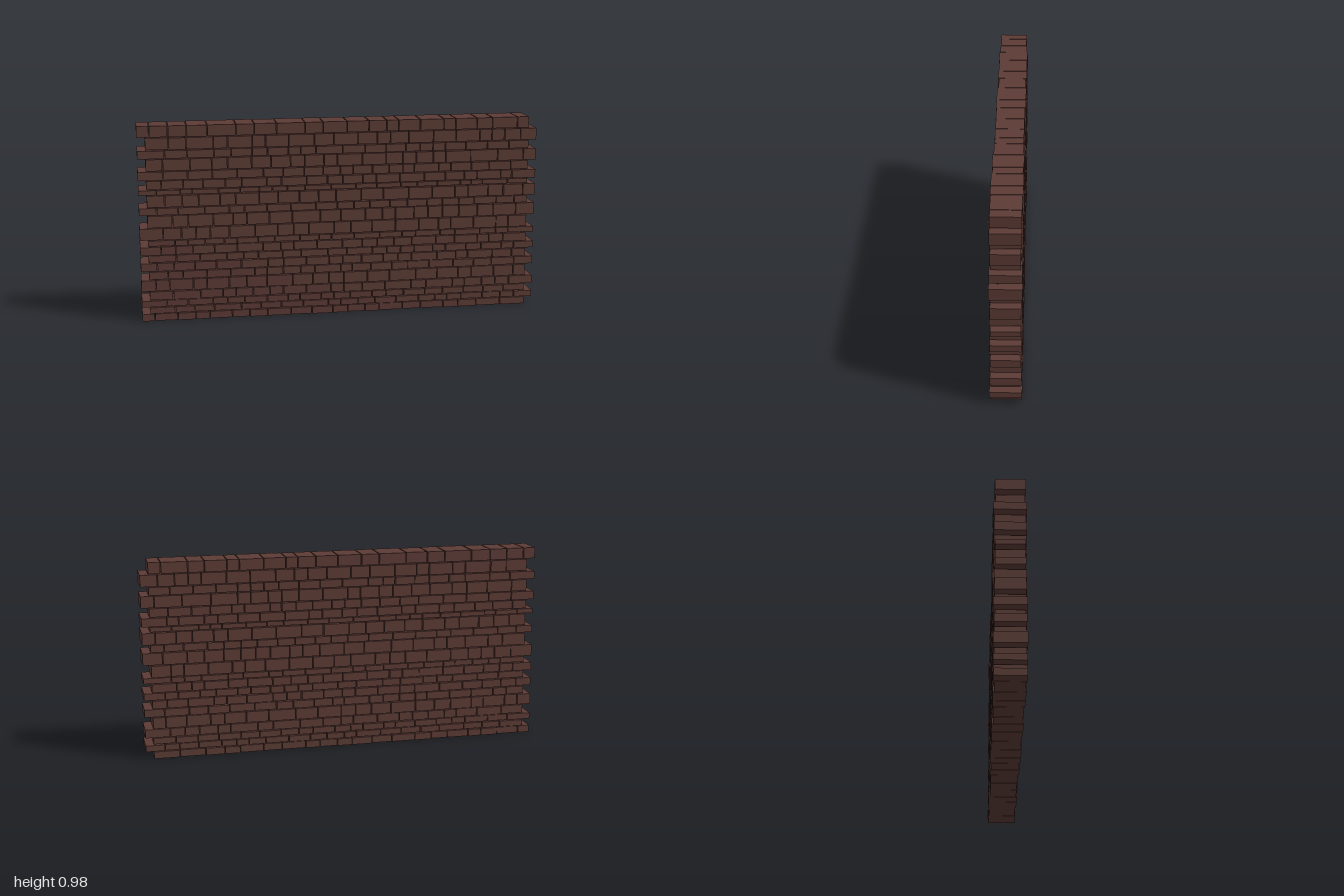
import * as THREE from 'three';

// Height of each bed joint, from the ground to the top of the wall
const beds = [0, 0.037, 0.071, 0.106, 0.152, 0.211, 0.253, 0.297, 0.335, 0.38, 0.411,
  0.473, 0.536, 0.575, 0.637, 0.664, 0.71, 0.756, 0.817, 0.86, 0.922, 0.979];
// Upright joints of the top course
const topJoints = [-1, -0.94, -0.85, -0.76, -0.66, -0.52, -0.43, -0.32, -0.18, -0.09, 0.03,
  0.14, 0.23, 0.29, 0.4, 0.52, 0.58, 0.69, 0.77, 0.9, 0.96];
const GAP = 0.004;

// Small seeded generator
function seeded(seed) {
  return () => {
    seed = (seed * 16807) % 2147483647;
    return seed / 2147483647;
  };
}

// Split a course into bricks of uneven length
function splitCourse(start, end, random) {
  const joints = [start];
  const lengths = Array.from({ length: 20 }, () => 0.06 + 0.08 * random());
  const total = lengths.reduce((a, b) => a + b, 0);
  let x = start;
  for (const length of lengths) {
    x += (length / total) * (end - start);
    joints.push(x);
  }
  return joints;
}

export function createModel() {
  const wall = new THREE.Group();
  wall.name = 'brickWall';
  const material = new THREE.MeshStandardMaterial({ color: 0x5c3b35 });
  const box = new THREE.BoxGeometry(1, 1, 1);
  const random = seeded(4217);
  const courses = beds.length - 1;

  for (let row = 0; row < courses; row++) {
    const course = new THREE.Group();
    course.name = `course${row + 1}`;
    // Alternate courses step out at opposite ends
    const start = row % 2 ? -0.96 : -1;
    const isTop = row === courses - 1;
    const joints = isTop ? topJoints : splitCourse(start, start + 1.96, random);
    const y0 = beds[row] + (row ? GAP / 2 : 0);
    const y1 = beds[row + 1] - (isTop ? 0 : GAP / 2);

    for (let i = 0; i < joints.length - 1; i++) {
      const last = i === joints.length - 2;
      const x0 = joints[i] + (i ? GAP / 2 : 0);
      const x1 = joints[i + 1] - (last ? 0 : GAP / 2);
      const brick = new THREE.Mesh(box, material);
      brick.name = 'brick';
      // Uneven depth leaves some bricks proud of the others
      brick.scale.set(x1 - x0, y1 - y0, 0.134 + 0.018 * random());
      brick.position.set((x0 + x1) / 2, (y0 + y1) / 2, 0);
      course.add(brick);
    }
    wall.add(course);
  }
  return wall;
}
